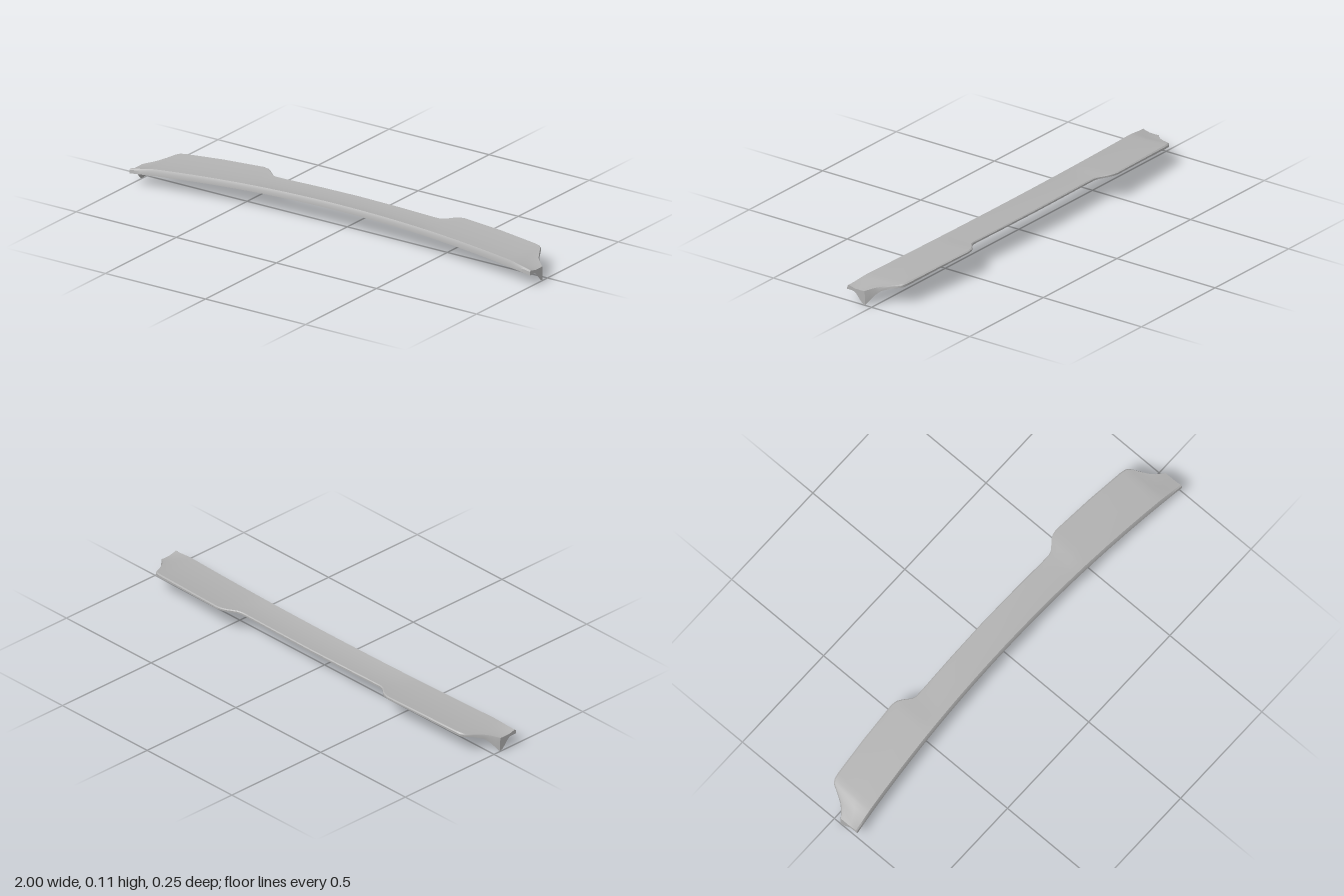
import * as THREE from 'three';
import { toCreasedNormals } from 'three/addons/utils/BufferGeometryUtils.js';

const { lerp, smoothstep } = THREE.MathUtils;

// Rear outline over half the span: x, z, lip top y, lip bottom y
const REAR = [
  [0, -0.085, 0.109, 0.098], [0.2, -0.082, 0.108, 0.097], [0.37, -0.077, 0.106, 0.095],
  [0.41, -0.077, 0.106, 0.095], [0.43, -0.084, 0.107, 0.096], [0.46, -0.109, 0.111, 0.1],
  [0.48, -0.121, 0.113, 0.102], [0.505, -0.126, 0.113, 0.102], [0.7, -0.113, 0.106, 0.094],
  [0.87, -0.097, 0.096, 0.082], [0.895, -0.092, 0.094, 0.079], [0.91, -0.082, 0.09, 0.076],
  [0.93, -0.046, 0.082, 0.07], [0.95, -0.012, 0.076, 0.058], [0.965, 0.006, 0.072, 0.042],
  [0.985, 0.022, 0.067, 0.019], [1, 0.034, 0.063, 0],
];
const EXTRA = [0.1, 0.3, 0.6, 0.8];
const CHORD = [0, 0.2, 0.4, 0.55, 0.7, 0.85, 1];

function rearAt(x) {
  const i = Math.max(1, REAR.findIndex((r) => r[0] >= x));
  const a = REAR[i - 1], b = REAR[i];
  const t = (x - a[0]) / (b[0] - a[0]);
  return a.map((v, k) => lerp(v, b[k], t));
}

// Cross-section at x: top points front to rear and matching bottom points
function section(xs) {
  const x = Math.abs(xs);
  const [, zr, yTop, yBot] = rearAt(x);
  const zf = 0.06 + 0.065 * x * x;
  const yFront = 0.088 - 0.038 * x * x;
  const yRidge = 0.113 - 0.035 * x * x - 0.008 * smoothstep(x, 0.88, 1);
  const zRidge = zf - 0.008;
  const top = [[xs, yFront + 0.015, zf - 0.002]];
  for (const f of [0, 0.12, 0.4, 0.82, 0.97]) {
    const dip = 0.006 * Math.sin(Math.PI * f);
    top.push([xs, lerp(yRidge, yTop, f) - dip, lerp(zRidge, zr, f)]);
  }
  top.push([xs, lerp(yTop, yBot, 0.35), zr]);
  // Near the tips the underside drops into a hanging fin
  const fin = smoothstep(x, 0.91, 0.98);
  const bottom = CHORD.map((f) => {
    const s = lerp(f, smoothstep(f, 0.33, 1), fin);
    return [xs, lerp(yFront, yBot, s), lerp(zf, zr, f)];
  });
  return { top, bottom, ring: [...top, ...bottom.slice().reverse()] };
}

function bladeGeometry() {
  const half = [...REAR.map((r) => r[0]), ...EXTRA].sort((a, b) => a - b);
  const stations = [...half.slice(1).reverse().map((x) => -x), ...half];
  const sections = stations.map(section);
  const pos = [];
  const quad = (a, b, c, d) => pos.push(...a, ...b, ...c, ...a, ...c, ...d);

  // Skin between neighbouring sections
  for (let i = 0; i < sections.length - 1; i++) {
    const p = sections[i].ring, q = sections[i + 1].ring;
    for (let k = 0; k < p.length; k++) {
      const n = (k + 1) % p.length;
      quad(p[k], q[k], q[n], p[n]);
    }
  }
  // End plates
  const first = sections[0], last = sections[sections.length - 1];
  for (let k = 0; k < CHORD.length - 1; k++) {
    quad(first.top[k], first.top[k + 1], first.bottom[k + 1], first.bottom[k]);
    quad(last.top[k], last.bottom[k], last.bottom[k + 1], last.top[k + 1]);
  }
  const geo = new THREE.BufferGeometry();
  geo.setAttribute('position', new THREE.Float32BufferAttribute(pos, 3));
  return toCreasedNormals(geo, 0.6);
}

export function createModel() {
  const group = new THREE.Group();
  group.name = 'spoiler';
  const grey = new THREE.MeshStandardMaterial({ color: 0xb0b0b0 });
  grey.name = 'grey';
  const blade = new THREE.Mesh(bladeGeometry(), grey);
  blade.name = 'spoilerBlade';
  group.add(blade);
  return group;
}
